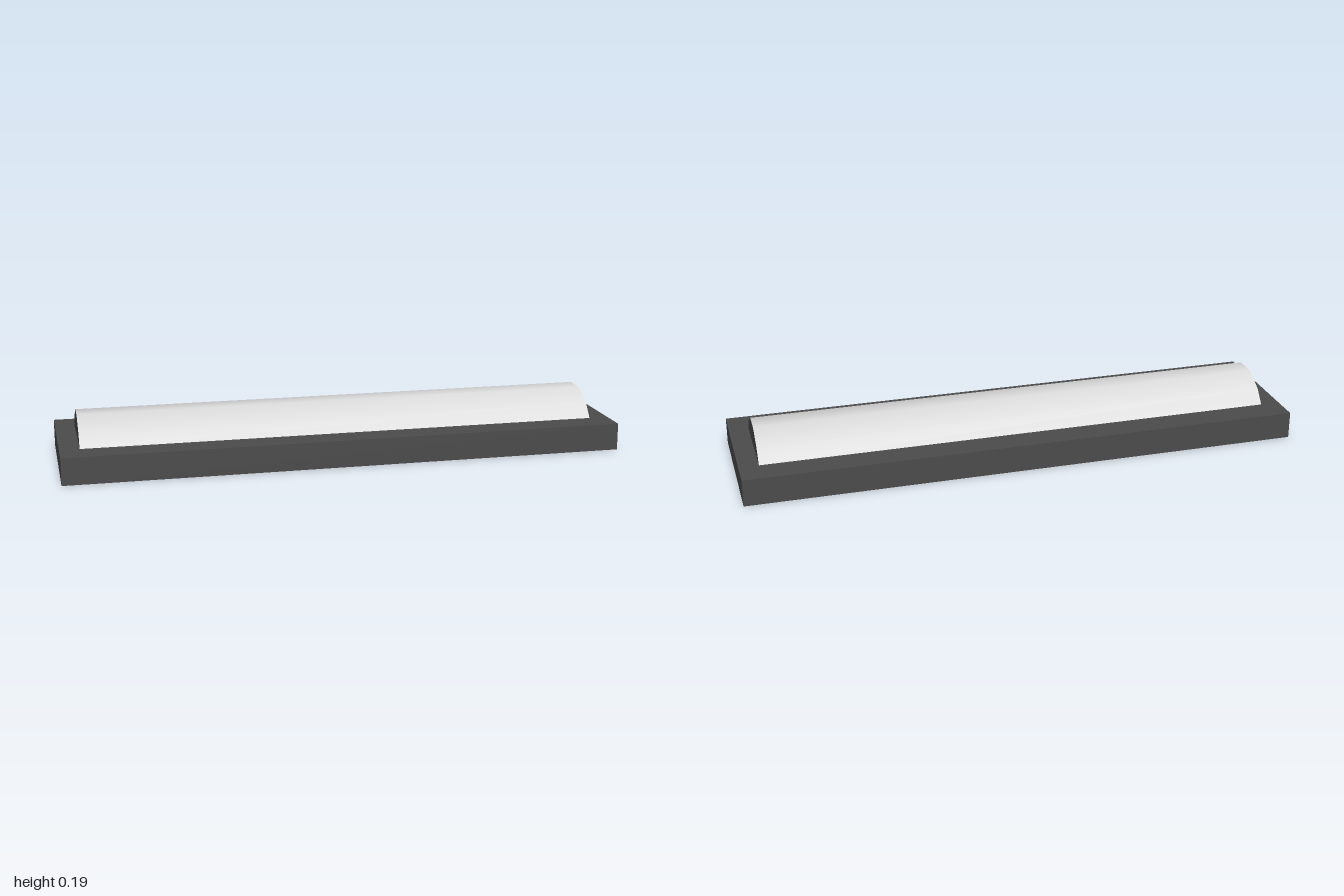
import * as THREE from 'three';

export function createModel() {
  const model = new THREE.Group();
  const housing = new THREE.MeshStandardMaterial({ name: 'dark grey housing', color: 0x4c4c4c, side: THREE.DoubleSide });
  const lens = new THREE.MeshStandardMaterial({ name: 'pale grey diffuser', color: 0xd8d8d8, side: THREE.DoubleSide });

  const W = 1, D = 0.257, H = 0.097;   // base half width, half depth, height
  const L = 0.93;                      // diffuser half length
  const arch = [[0.157, H], [0.117, 0.146], [0.04, 0.188], [-0.04, 0.188], [-0.117, 0.146], [-0.157, H]];
  const R = arch[0][0];

  const add = (name, geometry, material, parent = model) => {
    const mesh = new THREE.Mesh(geometry, material);
    mesh.name = name;
    parent.add(mesh);
    return mesh;
  };

  // Open-bottomed base: four thin walls
  const base = new THREE.Group();
  base.name = 'base';
  model.add(base);
  for (const s of [1, -1]) {
    const long = add(s > 0 ? 'frontWall' : 'backWall', new THREE.PlaneGeometry(2 * W, H), housing, base);
    long.position.set(0, H / 2, s * D);
    long.rotation.y = s > 0 ? 0 : Math.PI;
    const end = add(s > 0 ? 'leftWall' : 'rightWall', new THREE.PlaneGeometry(2 * D, H), housing, base);
    end.position.set(s * W, H / 2, 0);
    end.rotation.y = s * Math.PI / 2;
  }

  // Top rim with the opening under the diffuser
  const rect = (C, x, z) => new C([[-x, -z], [x, -z], [x, z], [-x, z]].map(p => new THREE.Vector2(...p)));
  const rim = rect(THREE.Shape, W, D);
  rim.holes.push(rect(THREE.Path, L, R));
  add('topRim', new THREE.ShapeGeometry(rim).rotateX(-Math.PI / 2).translate(0, H, 0), housing, base);

  // Smooth arched diffuser swept along x
  const positions = [], index = [];
  arch.forEach(([z, y], i) => {
    positions.push(-L, y, z, L, y, z);
    if (i < arch.length - 1) {
      const a = 2 * i;
      index.push(a, a + 1, a + 3, a, a + 3, a + 2);
    }
  });
  const cover = new THREE.BufferGeometry();
  cover.setAttribute('position', new THREE.Float32BufferAttribute(positions, 3));
  cover.setIndex(index);
  cover.computeVertexNormals();
  add('diffuser', cover, lens);

  // Dark end caps closing the arch
  const capShape = new THREE.Shape(arch.map(([z, y]) => new THREE.Vector2(z, y)));
  for (const s of [1, -1]) {
    const cap = add(s > 0 ? 'leftEndCap' : 'rightEndCap', new THREE.ShapeGeometry(capShape), housing);
    cap.rotation.y = s * Math.PI / 2;
    cap.position.x = s * L;
  }
  return model;
}
